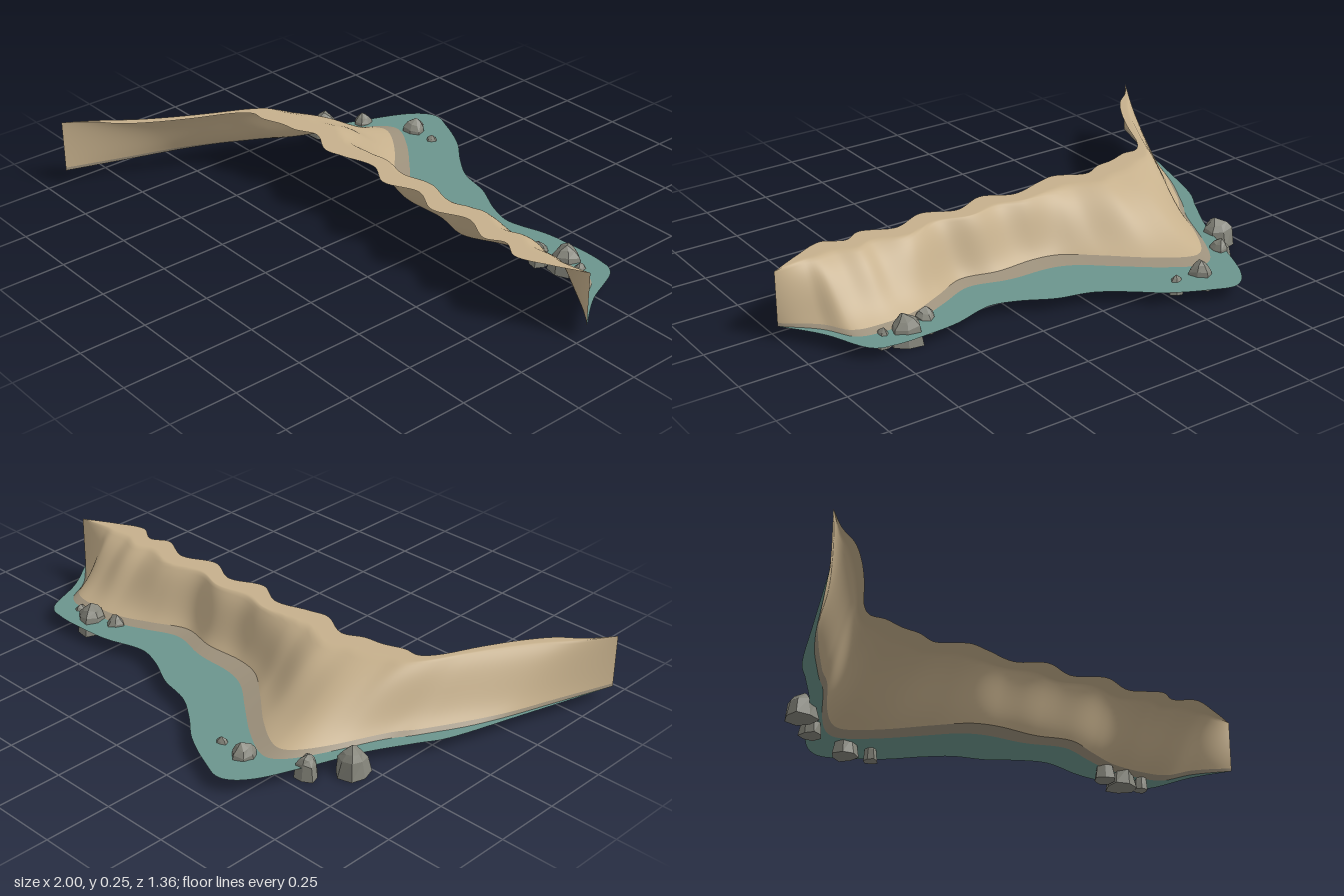
import * as THREE from 'three';

const mat = (name, color, extra = {}) => {
  const m = new THREE.MeshStandardMaterial({ color, ...extra });
  m.name = name;
  return m;
};

// Smooth curve z(x) through points sorted by x
function curveZ(pts) {
  const slope = (i) => {
    const a = pts[Math.max(i - 1, 0)], b = pts[Math.min(i + 1, pts.length - 1)];
    return (b[1] - a[1]) / (b[0] - a[0]);
  };
  return (x) => {
    let i = 0;
    while (i < pts.length - 2 && x > pts[i + 1][0]) i++;
    const [x0, z0] = pts[i], [x1, z1] = pts[i + 1];
    const h = x1 - x0, t = (x - x0) / h, t2 = t * t, t3 = t2 * t;
    return (2 * t3 - 3 * t2 + 1) * z0 + (t3 - 2 * t2 + t) * h * slope(i)
      + (3 * t2 - 2 * t3) * z1 + (t3 - t2) * h * slope(i + 1);
  };
}

// Plan outlines: scalloped land edge, shoreline and outer water edge
const land = curveZ([[-1, 0.67], [-0.93, 0.58], [-0.85, 0.51], [-0.78, 0.41], [-0.71, 0.28], [-0.65, 0.15],
  [-0.6, 0.09], [-0.54, 0.088], [-0.46, 0.06], [-0.39, 0.05], [-0.31, 0.016], [-0.2, 0.066], [-0.12, 0.05],
  [0.01, 0.016], [0.12, 0.066], [0.25, 0.018], [0.37, 0.066], [0.5, 0.016], [0.62, 0.062],
  [0.69, 0.028], [0.77, 0.066], [0.88, 0.02], [1, -0.045]]);
const shore = curveZ([[-1, 0.67], [-0.93, 0.47], [-0.85, 0.24], [-0.72, -0.02], [-0.66, -0.11], [-0.57, -0.31],
  [-0.5, -0.42], [-0.44, -0.44], [-0.32, -0.37], [-0.18, -0.25], [-0.07, -0.165], [0.03, -0.14], [0.19, -0.145],
  [0.33, -0.12], [0.46, -0.18], [0.59, -0.235], [0.75, -0.245], [0.83, -0.22], [0.88, -0.14], [1, -0.045]]);
const sea = curveZ([[-1, 0.67], [-0.89, 0.29], [-0.81, 0.02], [-0.75, -0.09], [-0.66, -0.26], [-0.6, -0.42],
  [-0.52, -0.61], [-0.44, -0.685], [-0.34, -0.66], [-0.2, -0.59], [-0.1, -0.51], [0, -0.445], [0.13, -0.41],
  [0.25, -0.35], [0.35, -0.325], [0.5, -0.365], [0.6, -0.375], [0.75, -0.375], [0.83, -0.34], [0.9, -0.185], [1, -0.045]]);
const crest = curveZ([[-1, 0.2], [-0.6, 0.2], [-0.45, 0.2], [-0.2, 0.3], [0, 0.42], [0.35, 0.45], [0.6, 0.3], [0.85, 0.28], [1, 0.28]]);
const wetEdge = (x) => shore(x) + (sea(x) - shore(x)) * 0.23;

// Sheet lofted between two outlines, height(x, v) across it
function sheet(from, to, height, rows, material, name) {
  const cols = 200, pos = [], idx = [];
  for (let i = 0; i <= cols; i++) {
    const x = -1 + (2 * i) / cols;
    for (let j = 0; j <= rows; j++) {
      const v = j / rows;
      pos.push(x, height(x, v), from(x) + (to(x) - from(x)) * v);
      if (i < cols && j < rows) {
        const a = i * (rows + 1) + j, b = a + rows + 1;
        idx.push(a, b, a + 1, b, b + 1, a + 1);
      }
    }
  }
  const g = new THREE.BufferGeometry();
  g.setAttribute('position', new THREE.Float32BufferAttribute(pos, 3));
  g.setIndex(idx);
  g.computeVertexNormals();
  const mesh = new THREE.Mesh(g, material);
  mesh.name = name;
  return mesh;
}

// Faceted boulder: flared foot, shoulder and an off-centre peak
function rock(x, z, r, top, seed, material) {
  const sides = 7, pos = [], idx = [];
  const rings = [[0, 1], [top * 0.62, 0.8], [top * 0.82, 0.5]];
  rings.forEach(([y, s], k) => {
    for (let i = 0; i < sides; i++) {
      const a = (i / sides) * Math.PI * 2 + seed;
      const q = r * s * (1 + 0.12 * Math.sin(i * 2.7 + seed * 5 + k));
      pos.push(Math.cos(a) * q, y + (k ? 0.06 * top * Math.sin(i * 1.9 + seed) : 0), Math.sin(a) * q);
      const n = (i + 1) % sides, c = k * sides;
      if (k < 2) idx.push(c + i, c + sides + i, c + n, c + n, c + sides + i, c + sides + n);
      else idx.push(c + i, 3 * sides, c + n);
      if (k === 0) idx.push(i, n, 3 * sides + 1);
    }
  });
  pos.push(r * 0.15 * Math.sin(seed * 3), top, r * 0.15 * Math.cos(seed), 0, 0, 0);
  const g = new THREE.BufferGeometry();
  g.setAttribute('position', new THREE.Float32BufferAttribute(pos, 3));
  g.setIndex(idx);
  const flat = g.toNonIndexed();
  flat.computeVertexNormals();
  const mesh = new THREE.Mesh(flat, material);
  mesh.position.set(x, 0, z);
  mesh.name = 'rock';
  return mesh;
}

export function createModel() {
  const two = { side: THREE.DoubleSide };
  const sand = mat('sand', 0xc6b08c, two);
  const wet = mat('wet sand', 0x9d917c, two);
  const water = mat('water', 0x6b958d, two);
  const stone = mat('stone', 0x85857b, { flatShading: true });
  const group = new THREE.Group();
  group.name = 'beach';

  // Flat crest easing into a slope down to the shoreline
  const slope = (x, v) => {
    const c = crest(x), s = Math.max(0, (v - c) / (1 - c));
    return 0.25 - 0.19 * (s + 0.05 * Math.sin(s * Math.PI * 2) * -1);
  };
  group.add(sheet(land, shore, slope, 24, sand, 'sandSlope'));
  group.add(sheet(shore, wetEdge, (x, v) => 0.06 - 0.012 * v, 2, wet, 'wetSandBand'));
  group.add(sheet(wetEdge, sea, () => 0.048, 2, water, 'shallowWater'));

  // Rocks standing in the shallows
  const rocks = new THREE.Group();
  rocks.name = 'rocks';
  [[-0.67, -0.31, 0.06, 0.1], [-0.578, -0.43, 0.042, 0.088], [-0.395, -0.54, 0.05, 0.1], [-0.29, -0.535, 0.028, 0.07],
    [0.565, -0.265, 0.042, 0.085], [0.66, -0.3, 0.06, 0.105], [0.74, -0.285, 0.028, 0.07]]
    .forEach(([x, z, r, h], i) => rocks.add(rock(x, z, r, h, i * 1.3 + 0.4, stone)));
  group.add(rocks);
  return group;
}
